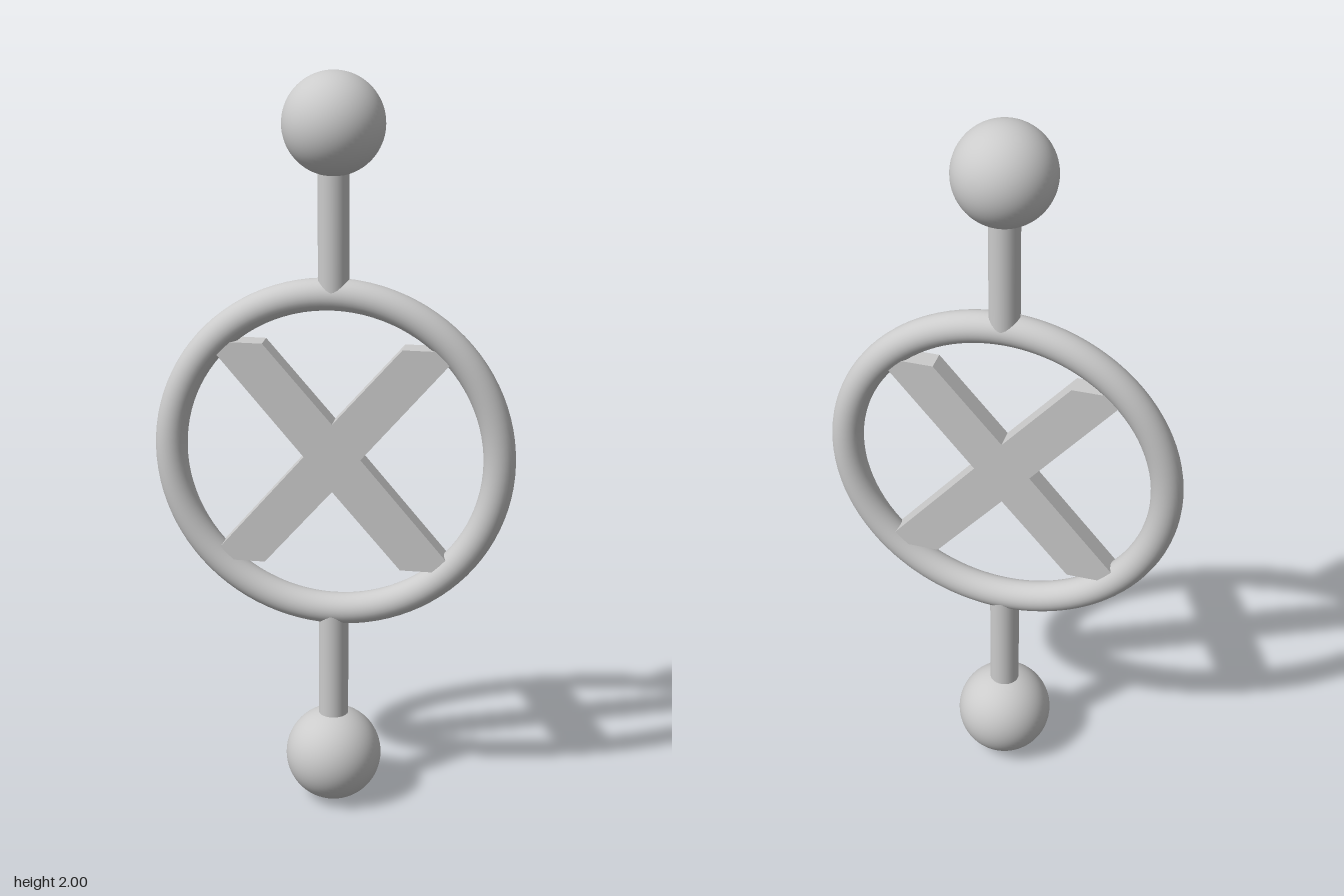
import * as THREE from 'three';

export function createModel() {
  const group = new THREE.Group();
  const material = new THREE.MeshStandardMaterial({ color: 0xcccccc });
  const add = (name, geometry, y) => {
    const mesh = new THREE.Mesh(geometry, material);
    mesh.name = name;
    mesh.position.y = y;
    group.add(mesh);
  };

  const ringRadius = 0.435, tube = 0.042, ballRadius = 0.13;

  // Upright ring
  add('ring', new THREE.TorusGeometry(ringRadius, tube, 32, 96), 1);

  // Rod and end ball, above and below the ring
  const rodLength = 1 - ballRadius - ringRadius;
  for (const [label, s] of [['upper', 1], ['lower', -1]]) {
    add(label + 'Rod', new THREE.CylinderGeometry(0.04, 0.04, rodLength, 32), 1 + s * (ringRadius + rodLength / 2));
    add(label + 'Ball', new THREE.SphereGeometry(ballRadius, 64, 40), 1 + s * (1 - ballRadius));
  }

  // Flat cross with level-cut ends sunk into the ring
  const outline = [
    [0, 0.093], [0.182, 0.303], [0.333, 0.303], [0.075, 0],
    [0.333, -0.303], [0.182, -0.303], [0, -0.093], [-0.182, -0.303],
    [-0.333, -0.303], [-0.075, 0], [-0.333, 0.303], [-0.182, 0.303],
  ];
  const shape = new THREE.Shape(outline.map(([x, y]) => new THREE.Vector2(x, y)));
  const depth = 0.055;
  const cross = new THREE.ExtrudeGeometry(shape, { depth, bevelEnabled: false });
  cross.translate(0, 0, -depth / 2);
  add('cross', cross, 1);

  return group;
}
